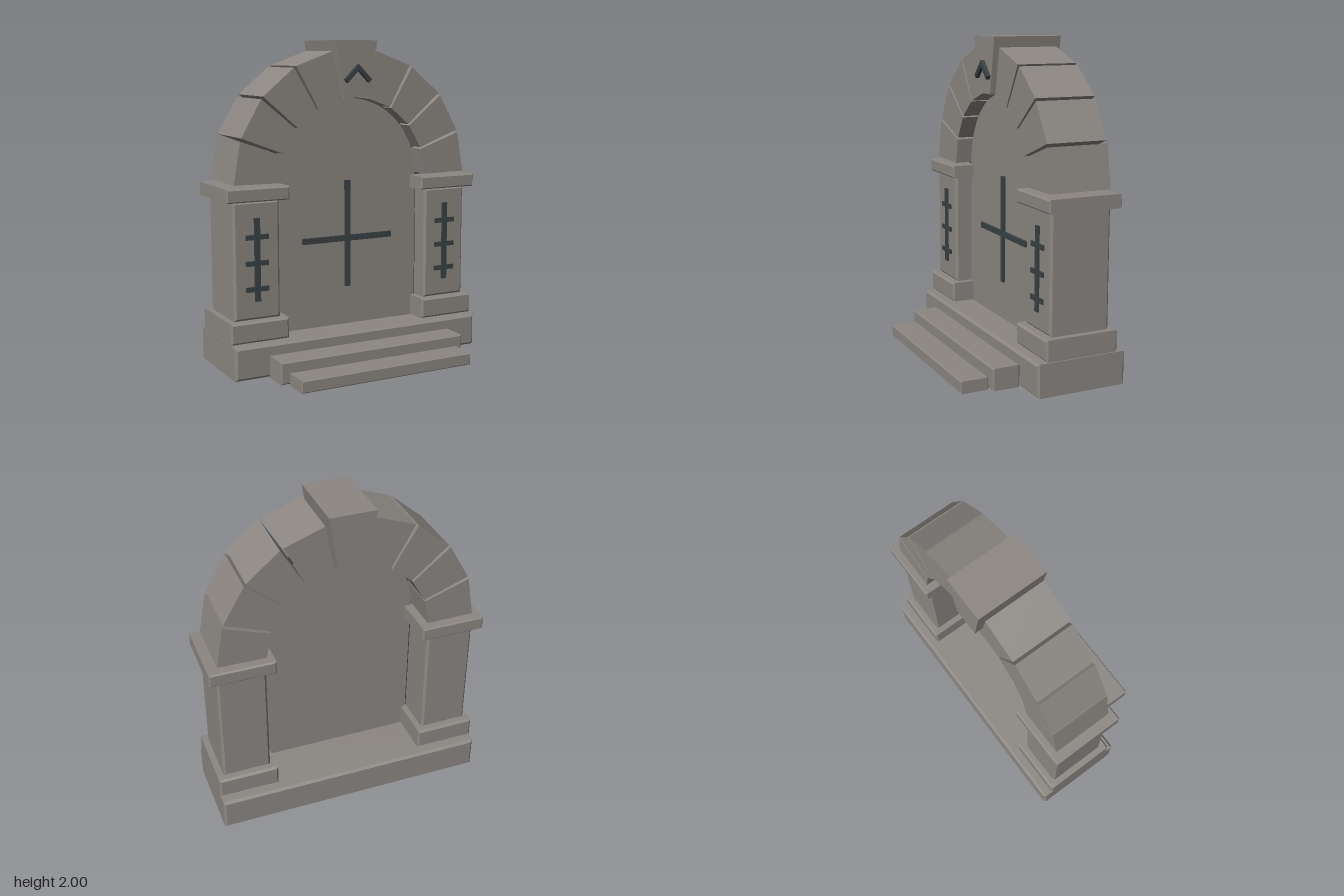
import * as THREE from 'three';

export function createModel() {
  const model = new THREE.Group();
  model.name = 'stoneArchway';
  const stone = new THREE.MeshStandardMaterial({ color: 0x8c8782 });
  stone.name = 'warm grey stone';
  const dark = new THREE.MeshStandardMaterial({ color: 0x3a4244 });
  dark.name = 'dark slate inlay';

  const add = (name, geometry, material, parent = model) => {
    const mesh = new THREE.Mesh(geometry, material);
    mesh.name = name;
    parent.add(mesh);
    return mesh;
  };

  // Extrudes an outline between two depths, with optional chamfered edges
  const slab = (points, z0, z1, bevel = 0) => {
    const shape = new THREE.Shape(points.map(([x, y]) => new THREE.Vector2(x, y)));
    const geometry = new THREE.ExtrudeGeometry(shape, {
      depth: z1 - z0 - 2 * bevel,
      bevelEnabled: bevel > 0,
      bevelSize: bevel,
      bevelThickness: bevel,
      bevelOffset: -bevel,
      bevelSegments: 1,
    });
    return geometry.translate(0, 0, z0 + bevel);
  };
  const block = (x0, x1, y0, y1, z0, z1, bevel = 0.012) =>
    slab([[x0, y0], [x1, y0], [x1, y1], [x0, y1]], z0, z1, bevel);

  // Base and steps
  add('base', block(-0.845, 0.845, 0.005, 0.208, -0.463, 0.112, 0.015), stone);
  add('upperStep', block(-0.63, 0.63, 0.005, 0.14, 0.114, 0.285, 0.008), stone);
  add('lowerStep', block(-0.58, 0.58, 0, 0.075, 0.29, 0.463, 0.006), stone);

  // Pillars with engraved rune strips
  for (const side of [1, -1]) {
    const pillar = new THREE.Group();
    pillar.name = side > 0 ? 'leftPillar' : 'rightPillar';
    model.add(pillar);
    const cx = side * 0.66;
    const centred = (name, x, half, y0, y1, z0, z1, bevel, material) =>
      add(name, block(x - half, x + half, y0, y1, z0, z1, bevel), material, pillar);
    centred('plinth', cx, 0.188, 0.213, 0.342, -0.407, 0.06, 0.012, stone);
    centred('shaft', cx, 0.149, 0.342, 1.06, -0.368, 0.018, 0.014, stone);
    centred('capital', cx, 0.2, 1.06, 1.142, -0.408, 0.056, 0.008, stone);
    centred('runeStem', cx, 0.018, 0.455, 0.96, 0.01, 0.03, 0, dark);
    for (const y of [0.53, 0.687, 0.845]) {
      centred('runeBar', cx, 0.073, y - 0.015, y + 0.015, 0.01, 0.029, 0, dark);
    }
  }

  // Arch stones, with the keystone slot left open
  const springY = 1.15;
  const polar = (radius, degrees) => {
    const a = THREE.MathUtils.degToRad(degrees);
    return [radius * Math.cos(a), springY + radius * Math.sin(a)];
  };
  for (let i = 0; i < 9; i++) {
    if (i === 4) continue;
    const a0 = i * 20 + 0.7;
    const a1 = (i + 1) * 20 - 0.7;
    add('archStone', slab(
      [polar(0.505, a0), polar(0.8, a0), polar(0.8, a1), polar(0.505, a1)], -0.367, 0.017), stone);
  }
  add('keystone', slab(
    [[-0.083, 1.655], [0.083, 1.655], [0.141, 2], [-0.141, 2]], -0.402, 0.046), stone);

  // Chevron on the keystone
  add('chevron', slab(
    [[0, 1.858], [-0.091, 1.765], [-0.073, 1.745], [0, 1.82], [0.073, 1.745], [0.091, 1.765]],
    0.04, 0.07), dark);

  // Recessed door with a thin dark core filling the joint around it
  const archOutline = (radius, bottom) => {
    const points = [[-radius, bottom], [radius, bottom]];
    for (let i = 0; i <= 32; i++) points.push(polar(radius, i * 180 / 32));
    return points;
  };
  add('door', slab(archOutline(0.5, 0.2), -0.125, -0.09), stone);
  add('doorSeam', slab(archOutline(0.555, 0.22), -0.113, -0.102), dark);

  // Cross on the door
  add('doorCrossStem', block(-0.018, 0.018, 0.455, 1.135, -0.095, -0.075, 0), dark);
  add('doorCrossBar', block(-0.315, 0.315, 0.748, 0.785, -0.095, -0.076, 0), dark);

  return model;
}
